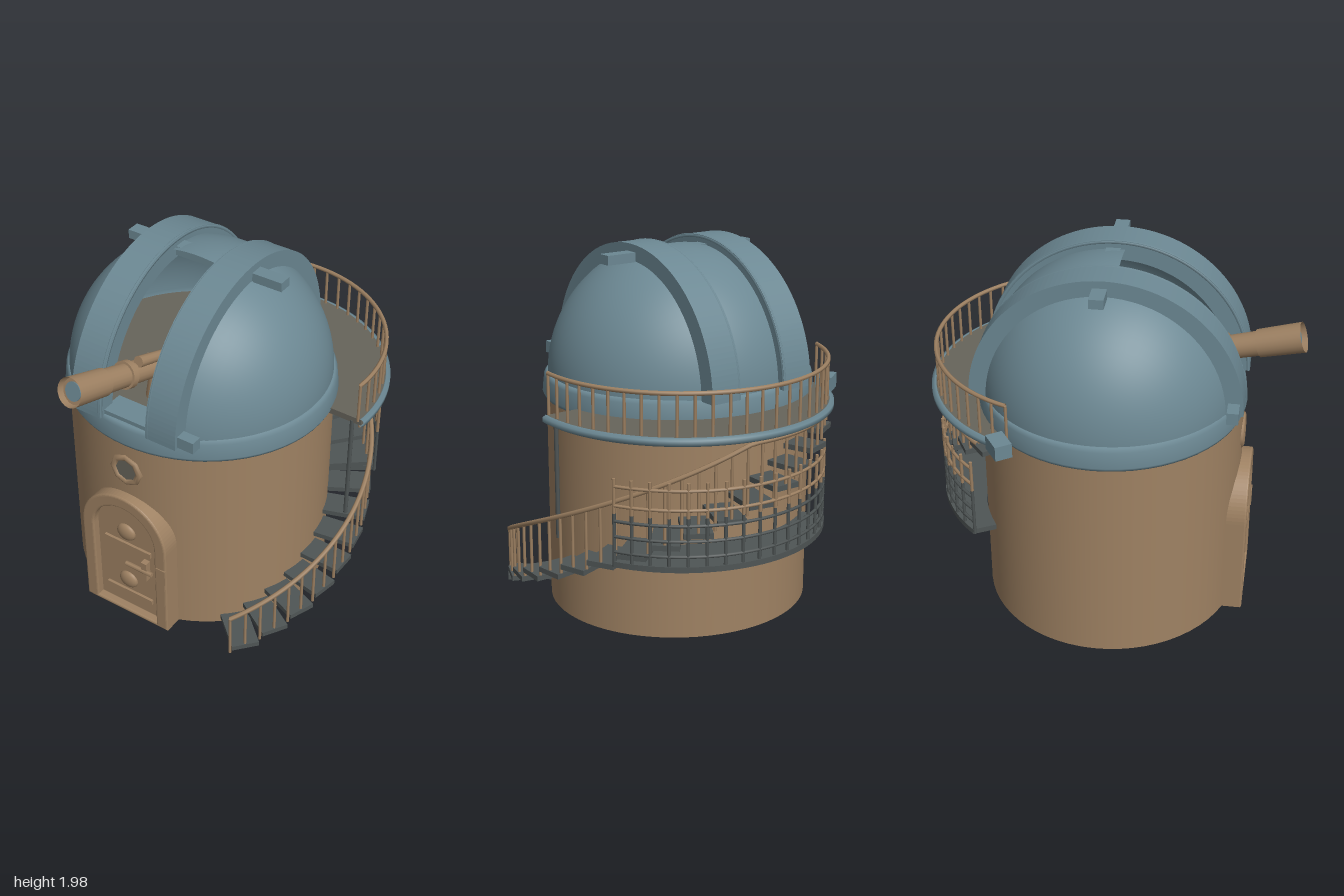
import * as THREE from 'three';
import { mergeGeometries } from 'three/addons/utils/BufferGeometryUtils.js';

const CX = -0.12;           // tower axis
const RAD = Math.PI / 180;

function mat(name, color, side = THREE.FrontSide) {
  const m = new THREE.MeshStandardMaterial({ color, side });
  m.name = name;
  return m;
}

export function createModel() {
  const stone = mat('tan stone', 0x9f8263, THREE.DoubleSide);
  const blue = mat('blue metal', 0x6c8893, THREE.DoubleSide);
  const dark = mat('dark treads', 0x4f5555);
  const deckMat = mat('grey deck', 0x67645b);
  const root = new THREE.Group();
  root.name = 'observatory';

  const add = (name, geo, material, x = 0, y = 0, z = 0, parent = root) => {
    const m = new THREE.Mesh(geo, material);
    m.name = name;
    m.position.set(x, y, z);
    parent.add(m);
    return m;
  };
  const v = (x, y, z) => new THREE.Vector3(x, y, z);
  // Cylinder between two points
  const rod = (a, b, r0, r1 = r0, seg = 6, open = false) => {
    const d = b.clone().sub(a);
    const g = new THREE.CylinderGeometry(r1, r0, d.length(), seg, 1, open);
    g.applyQuaternion(new THREE.Quaternion().setFromUnitVectors(v(0, 1, 0), d.normalize()));
    const c = a.clone().add(b).multiplyScalar(0.5);
    return g.translate(c.x, c.y, c.z);
  };
  // Point on a circle; angles run from +x towards the back
  const polar = (cx, cz, r, a, y) => v(cx + r * Math.cos(a), y, cz - r * Math.sin(a));
  // Tube through the points at(k), k from 0 to 1
  const pathTube = (at, t, n = 48) => {
    const pts = Array.from({ length: n + 1 }, (_, i) => at(i / n));
    return new THREE.TubeGeometry(new THREE.CatmullRomCurve3(pts), n, t, 6);
  };
  const arcTube = (cx, cz, r, a0, a1, y, t) => pathTube(k => polar(cx, cz, r, a0 + (a1 - a0) * k, y), t);

  // Tower wall, open at the bottom
  const wall = new THREE.CylinderGeometry(0.72, 0.72, 1.17, 64, 1, true);
  wall.scale(1, 1, 0.965);
  add('towerWall', wall, stone, CX, 0.595, 0);

  // Dome base ring and floor
  const profile = [[0.7, 1.165], [0.735, 1.165], [0.745, 1.185], [0.735, 1.27], [0.72, 1.29], [0.66, 1.3]];
  const ring = new THREE.LatheGeometry(profile.map(p => new THREE.Vector2(...p)), 64);
  ring.scale(1, 1, 0.95);
  add('domeBaseRing', ring, blue, CX);
  const floor = new THREE.CylinderGeometry(0.69, 0.69, 0.02, 48);
  floor.scale(1, 1, 0.96);
  add('domeFloor', floor, deckMat, CX, 1.27, 0);

  // Dome shell: two side caps and a rear strip that leaves the slit open
  const shell = (p0, p1, t0, t1, sy, sz) => {
    const g = new THREE.SphereGeometry(0.69, 40, 20, p0, p1 - p0, t0, t1 - t0);
    g.rotateZ(-Math.PI / 2);
    g.scale(1.03, sy, sz);
    return g;
  };
  const tc = Math.acos(0.15 / 0.71), H = Math.PI / 2;
  add('domeLeft', shell(-H, H, 0, tc, 1.025, 1), blue, CX, 1.27);
  add('domeRight', shell(-H, H, Math.PI - tc, Math.PI, 1.025, 1), blue, CX, 1.27);
  add('domeRearStrip', shell(-H, 0.06, tc, Math.PI - tc, 0.99, 0.98), blue, CX, 1.27);

  // Arched bands beside the slit, with feet at the front
  const arch = new THREE.Shape();
  arch.absarc(0, 0, 0.705, 0, Math.PI, false);
  arch.absarc(0, 0, 0.6, Math.PI, 0, true);
  for (const s of [-1, 1]) {
    const g = new THREE.ExtrudeGeometry(arch, { depth: 0.18, bevelEnabled: false, curveSegments: 40 });
    g.translate(0, 0, -0.09).rotateY(Math.PI / 2);
    add('slitBand', g, blue, CX + s * 0.23, 1.28, 0);
    const rim = new THREE.TorusGeometry(0.695, 0.013, 6, 48, Math.PI).rotateY(Math.PI / 2);
    add('slitBandRim', rim, blue, CX + s * 0.15, 1.28, 0);
    add('bandFoot', new THREE.BoxGeometry(0.14, 0.065, 0.06), blue, CX + s * 0.345, 1.32, 0.655);
  }
  add('slitSill', new THREE.BoxGeometry(0.3, 0.04, 0.14), blue, CX, 1.295, 0.6);
  add('topBeam', new THREE.BoxGeometry(0.93, 0.05, 0.075), blue, -0.095, 1.92, -0.02);

  // Telescope on its mount
  const scope = new THREE.Group();
  scope.name = 'telescope';
  root.add(scope);
  const back = v(-0.14, 1.43, 0.28), front = v(-0.215, 1.635, 0.975);
  const along = k => back.clone().lerp(front, k);
  add('telescopeTube', rod(back, along(0.96), 0.055, 0.068, 20), stone, 0, 0, 0, scope);
  add('telescopeHood', rod(along(0.68), front, 0.072, 0.078, 20, true), stone, 0, 0, 0, scope);
  add('telescopeLens', rod(along(0.955), along(0.968), 0.05, 0.05, 20), blue, 0, 0, 0, scope);
  add('telescopeCollar', rod(along(0.42), along(0.47), 0.074, 0.074, 20), stone, 0, 0, 0, scope);
  const finder = v(0.03, 0.075, 0);
  add('finderTube', rod(along(0.02).add(finder), along(0.36).add(finder), 0.025, 0.03, 12), stone, 0, 0, 0, scope);
  add('mountPost', rod(v(-0.14, 1.27, 0.38), v(-0.14, 1.44, 0.38), 0.06, 0.035, 12), stone, 0, 0, 0, scope);
  for (const s of [-1, 1])
    add('mountFork', new THREE.BoxGeometry(0.02, 0.12, 0.08), stone, -0.145 + s * 0.065, 1.43, 0.38, scope);

  // Arched door with raised frame
  const archShape = (S, w, spring) => {
    const s = new S();
    s.moveTo(-w, 0);
    s.lineTo(w, 0);
    s.lineTo(w, spring);
    s.absarc(0, spring, w, 0, Math.PI, false);
    s.lineTo(-w, 0);
    return s;
  };
  const frame = archShape(THREE.Shape, 0.26, 0.55);
  frame.holes.push(archShape(THREE.Path, 0.21, 0.55));
  add('doorFrame', new THREE.ExtrudeGeometry(frame, {
    depth: 0.12, bevelThickness: 0.01, bevelSize: 0.012, bevelSegments: 3, curveSegments: 20,
  }), stone, CX, 0.02, 0.62);
  add('doorPanel', new THREE.ExtrudeGeometry(archShape(THREE.Shape, 0.21, 0.55),
    { depth: 0.02, bevelEnabled: false, curveSegments: 20 }), stone, CX, 0.02, 0.685);
  for (const y of [0.22, 0.57]) {
    add('doorBoss', new THREE.SphereGeometry(0.06, 16, 10).scale(1, 0.9, 0.45), stone, -0.13, y, 0.705);
    add('doorHinge', new THREE.BoxGeometry(0.3, 0.03, 0.02), stone, CX, y - 0.09, 0.71);
  }
  add('doorHandle', rod(v(-0.12, 0.37, 0.735), v(0.05, 0.37, 0.735), 0.014), stone);
  add('handlePlate', new THREE.BoxGeometry(0.035, 0.12, 0.04), stone, 0.0, 0.37, 0.72);
  add('doorLock', new THREE.BoxGeometry(0.06, 0.1, 0.03), stone, 0.12, 0.41, 0.74);

  // Round window over the door
  add('windowRing', new THREE.TorusGeometry(0.08, 0.022, 8, 8), stone, CX, 1.0, 0.685);
  add('windowPane', new THREE.CircleGeometry(0.08, 8), deckMat, CX, 1.0, 0.697);

  // Spiral stair, drawing in towards the wall under the balcony
  const A0 = -42 * RAD, A1 = 130 * RAD, N = 18;
  const angle = k => A0 + (A1 - A0) * k;
  const outer = a => 0.95 - 0.13 * Math.max(0, (a - 75 * RAD) / (55 * RAD));
  const stepY = k => 0.05 + 1.05 * k;
  const railY = k => Math.min(0.3 + 1.2 * k, 1.12);
  const treads = [], posts = [];
  for (let i = 0; i < N; i++) {
    const k = i / (N - 1), a = angle(k), len = outer(a) - 0.7;
    const p = polar(CX, 0, 0.7 + len / 2, a, stepY(k));
    treads.push(new THREE.BoxGeometry(len, 0.028, 0.15).rotateY(a).translate(p.x, p.y, p.z));
    for (const h of [-0.5, 0]) {
      const q = k + h / (N - 1), b = angle(q), r = outer(b) - 0.012;
      if (railY(q) > stepY(q) + 0.04)
        posts.push(rod(polar(CX, 0, r, b, stepY(q) - 0.01), polar(CX, 0, r, b, railY(q)), 0.008));
    }
  }
  add('stairTreads', mergeGeometries(treads), dark);
  add('stairBalusters', mergeGeometries(posts), stone);
  const railPoint = k => polar(CX, 0, outer(angle(k)) - 0.012, angle(k), railY(k));
  add('stairHandrail', pathTube(k => railPoint(k * 1.03 - 0.03), 0.013, 64), stone);

  // Sector between an outer arc and the wall, extruded upwards
  const BX = 0.01, BZ = -0.19;
  const sector = (r, a0, a1, ri, b0, b1, h) => {
    const s = new THREE.Shape();
    s.absarc(BX, -BZ, r, a0, a1, false);
    s.absarc(CX, 0, ri, b1, b0, true);
    return new THREE.ExtrudeGeometry(s, { depth: h, bevelEnabled: false, curveSegments: 40 }).rotateX(-Math.PI / 2);
  };

  // Lower landing with its open guard lattice
  const L0 = 28 * RAD, L1 = 140 * RAD, LR = 0.775;
  add('lowerLanding', sector(LR, L0, L1, 0.7, 34 * RAD, 125 * RAD, 0.03), dark, 0, 0.5, 0);
  const lattice = (name, heights, y0, y1, material) => {
    const bars = heights.map(y => arcTube(BX, BZ, LR - 0.01, L0, L1, y, 0.009));
    for (let i = 0; i <= 16; i++) {
      const a = L0 + (L1 - L0) * i / 16;
      bars.push(rod(polar(BX, BZ, LR - 0.01, a, y0), polar(BX, BZ, LR - 0.01, a, y1), 0.009));
    }
    add(name, mergeGeometries(bars), material);
  };
  lattice('landingLatticeLower', [0.58, 0.66, 0.74], 0.5, 0.78, dark);
  lattice('landingLatticeUpper', [0.82, 0.92], 0.78, 0.96, stone);

  // Upper balcony: deck, blue rim, railing and supports
  const BR = 0.79, a0 = -0.1, a1 = 2.8;
  add('balconyDeck', sector(BR, a0, a1, 0.68, 0.17, 2.5, 0.035), deckMat, 0, 1.16, 0);
  add('balconyRim', arcTube(BX, BZ, BR - 0.003, a0, a1, 1.175, 0.023), blue);
  add('balconyHandrail', arcTube(BX, BZ, BR - 0.02, a0, a1, 1.41, 0.012), stone);
  const rails = [];
  for (let i = 0; i <= 26; i++) {
    const a = a0 + (a1 - a0) * i / 26;
    rails.push(rod(polar(BX, BZ, BR - 0.02, a, 1.18), polar(BX, BZ, BR - 0.02, a, 1.41), 0.008));
  }
  add('balconyBalusters', mergeGeometries(rails), stone);
  add('balconyPost', rod(v(0.74, 0.53, -0.12), v(0.74, 1.17, -0.12), 0.012, 0.012, 8), dark);
  add('balconyEndBracket', new THREE.BoxGeometry(0.13, 0.08, 0.09).rotateY(0.6), blue, -0.76, 1.2, -0.48);

  return root;
}
